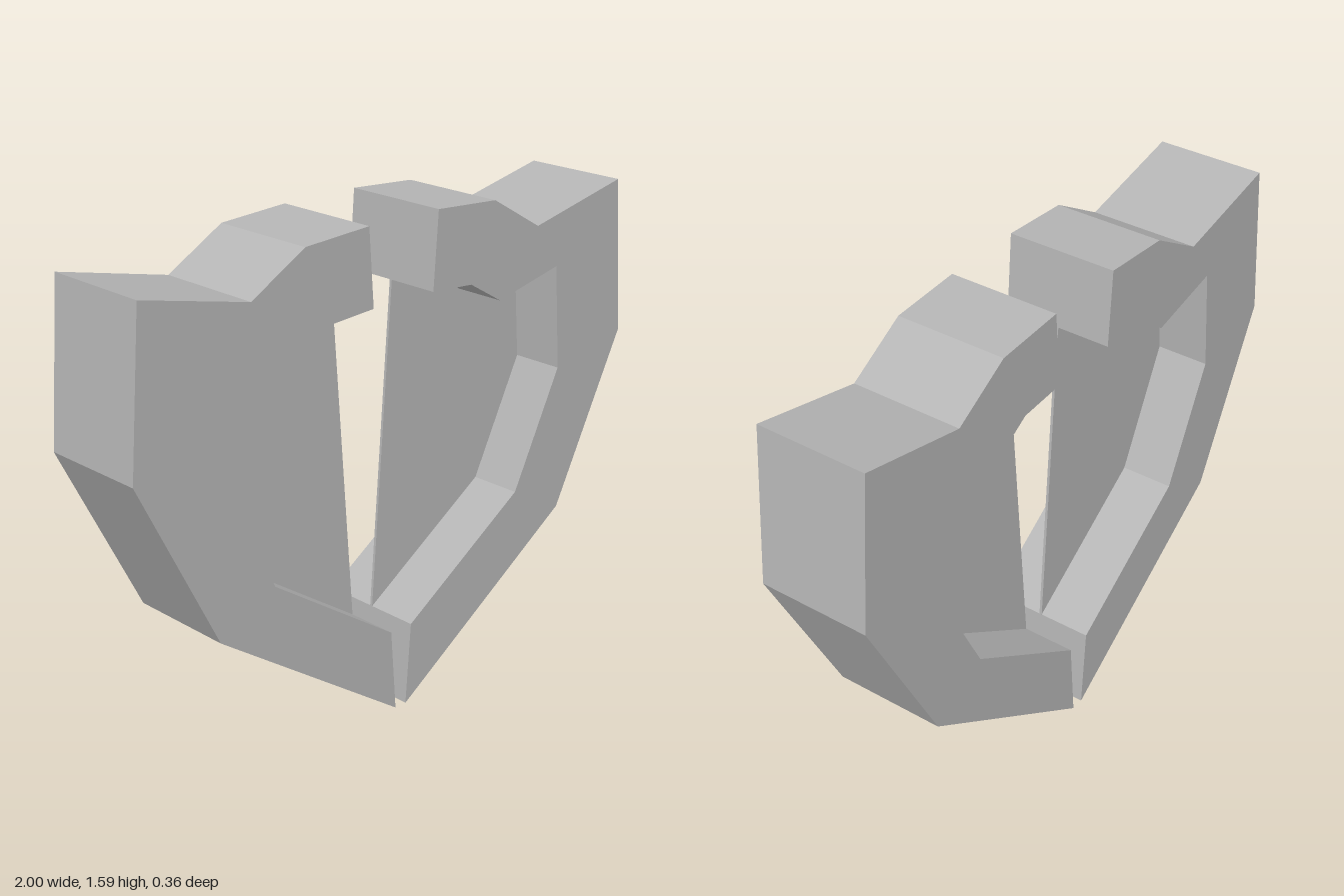
import * as THREE from 'three';

const DEPTH = 0.36;
const PANEL = 0.009;

// Outlines of one half, from the bottom tip round to the top of the centre gap
const OUTER = [[0.022, 0], [0.72, 0.475], [1, 1.032], [0.96, 1.54], [0.58, 1.455], [0.382, 1.57], [0.14, 1.585]];
const INNER = [[0.043, 0.272], [0.513, 0.585], [0.7, 0.965], [0.674, 1.308], [0.416, 1.25], [0.285, 1.327], [0.122, 1.338]];

// Extrudes an outline, centred on z = 0, on the chosen side
function slab(points, side, depth) {
  const shape = new THREE.Shape(points.map(([x, y]) => new THREE.Vector2(x * side, y)));
  const geometry = new THREE.ExtrudeGeometry(shape, { depth, bevelEnabled: false });
  return geometry.translate(0, 0, -depth / 2);
}

export function createModel() {
  const grey = new THREE.MeshStandardMaterial({ color: 0xb4b4b4 });
  grey.name = 'grey';

  const model = new THREE.Group();
  model.name = 'splitShield';

  for (const [name, side] of [['left', 1], ['right', -1]]) {
    const half = new THREE.Group();
    half.name = name + 'Half';

    // Thick C-shaped rim, open towards the centre gap
    const rim = new THREE.Mesh(slab([...OUTER, ...[...INNER].reverse()], side, DEPTH), grey);
    rim.name = name + 'Rim';

    // Thin panel filling the rim halfway through its depth
    const panel = new THREE.Mesh(slab(INNER, side, PANEL), grey);
    panel.name = name + 'Panel';

    half.add(rim, panel);
    model.add(half);
  }
  return model;
}
